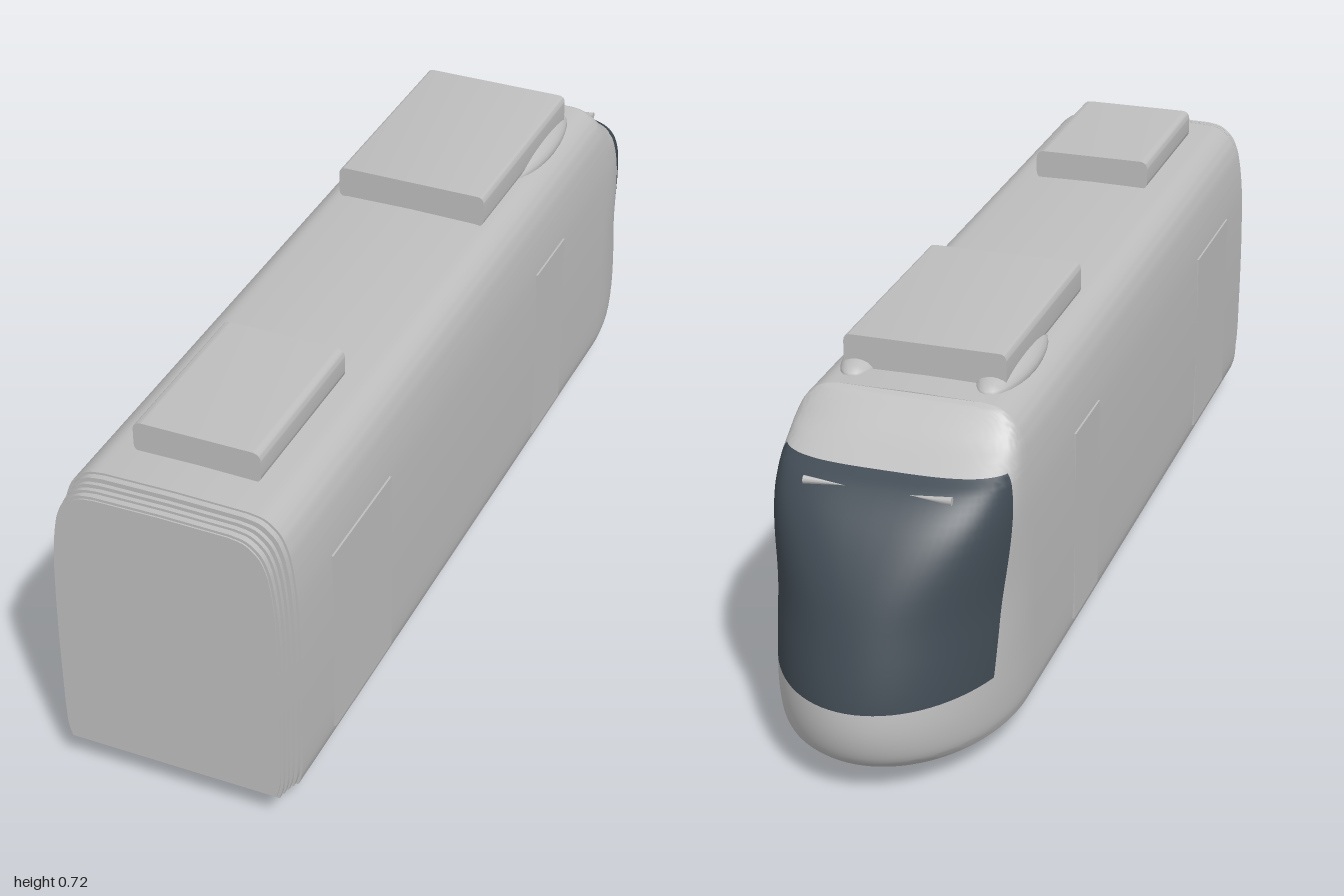
import * as THREE from 'three';
import { toCreasedNormals } from 'three/addons/utils/BufferGeometryUtils.js';

const Z0 = -0.64; // where the straight body meets the nose

// hull control points: nose length beyond Z0, height, half width
const HULL = [
  [0.315, 0.06, 0.223], [0.342, 0.085, 0.23], [0.357, 0.13, 0.233], [0.356, 0.19, 0.234],
  [0.325, 0.31, 0.235], [0.285, 0.41, 0.234], [0.23, 0.495, 0.231], [0.175, 0.545, 0.226],
  [0.135, 0.565, 0.223], [0.07, 0.6, 0.215], [0.035, 0.63, 0.2], [0.012, 0.652, 0.172], [0, 0.658, 0.14],
];
const SUB = 4, DARK_FROM = 3 * SUB, DARK_TO = 8 * SUB;

function hullRows() {
  const curve = new THREE.CatmullRomCurve3(HULL.map(p => new THREE.Vector3(...p)));
  return curve.getPoints((HULL.length - 1) * SUB);
}

// body cross-section, shrunk by a margin
function section(rows, m) {
  const s = 1 - m / 0.235;
  const pts = rows.map(r => new THREE.Vector2(r.z * s, 0.36 + (r.y - 0.36) * (1 - m / 0.3)));
  const left = pts.map(p => new THREE.Vector2(-p.x, p.y)).reverse();
  return new THREE.Shape([...pts, new THREE.Vector2(0, 0.36 + 0.3 * (1 - m / 0.3)), ...left]);
}

function slab(shape, z1, z2) {
  const g = new THREE.ExtrudeGeometry(shape, { depth: z2 - z1, bevelEnabled: false, curveSegments: 6 });
  g.translate(0, 0, z1);
  return toCreasedNormals(g, 0.6);
}

// nose lofted upward from rounded plan outlines; the windscreen is its own face group
function noseGeometry(rows) {
  const SIDE = 8, MID = 32, COLS = SIDE * 2 + MID;
  const pos = [], body = [], dark = [];
  const all = [new THREE.Vector3(0, 0.06, 0), ...rows, new THREE.Vector3(0, 0.66, 0)];
  all.forEach(r => {
    const e = 1 - 0.4 * THREE.MathUtils.smoothstep(r.y, 0.3, 0.56);
    const zE = 0.08 + 0.075 * (0.56 - r.y) / 0.36;
    const tE = Math.asin(Math.min(0.6, Math.pow(zE / Math.max(r.x, 1e-4), 1 / e)));
    for (let j = 0; j <= COLS; j++) {
      let t;
      if (j <= SIDE) t = tE * j / SIDE;
      else if (j <= SIDE + MID) t = tE + (Math.PI - 2 * tE) * (j - SIDE) / MID;
      else t = Math.PI - tE * (COLS - j) / SIDE;
      const c = Math.cos(t), s = Math.max(0, Math.sin(t));
      pos.push(r.z * Math.sign(c) * Math.pow(Math.abs(c), e), r.y, Z0 - Math.max(0, r.x) * Math.pow(s, e));
    }
  });
  for (let i = 0; i < all.length - 1; i++) {
    for (let j = 0; j < COLS; j++) {
      const a = i * (COLS + 1) + j, b = a + COLS + 1;
      const row = i - 1;
      const glass = row >= DARK_FROM && row < DARK_TO && j >= SIDE && j < SIDE + MID;
      (glass ? dark : body).push(a, a + 1, b, a + 1, b + 1, b);
    }
  }
  const g = new THREE.BufferGeometry();
  g.setAttribute('position', new THREE.Float32BufferAttribute(pos, 3));
  g.setIndex([...body, ...dark]);
  g.addGroup(0, body.length, 0);
  g.addGroup(body.length, dark.length, 1);
  return toCreasedNormals(g, 0.6);
}

// rounded-edge roof unit outline
function podShape(w, y1, y2, c) {
  const s = new THREE.Shape();
  s.moveTo(-w + c, y1);
  s.lineTo(w - c, y1);
  s.quadraticCurveTo(w, y1, w, y1 + c);
  s.lineTo(w, y2 - c);
  s.quadraticCurveTo(w, y2, w - c, y2);
  s.lineTo(-w + c, y2);
  s.quadraticCurveTo(-w, y2, -w, y2 - c);
  s.lineTo(-w, y1 + c);
  s.quadraticCurveTo(-w, y1, -w + c, y1);
  return s;
}

export function createModel() {
  const model = new THREE.Group();
  model.name = 'railcar';
  const grey = new THREE.MeshStandardMaterial({ color: 0xbebebe });
  grey.name = 'body grey';
  const glass = new THREE.MeshStandardMaterial({ color: 0x414b54 });
  glass.name = 'windscreen dark';
  const add = (name, geo, mat = grey, x = 0, y = 0, z = 0) => {
    const m = new THREE.Mesh(geo, mat);
    m.name = name;
    m.position.set(x, y, z);
    model.add(m);
    return m;
  };

  // hull
  const rows = hullRows();
  add('body', slab(section(rows, 0), Z0, 0.94));
  add('bodyEndStep', slab(section(rows, 0.004), 0.93, 0.952));
  add('nose', noseGeometry(rows), [grey, glass]);

  // corrugated gangway at the flat end
  add('gangwayCore', slab(section(rows, 0.014), 0.94, 0.997));
  for (let i = 0; i < 3; i++) {
    const z = 0.959 + i * 0.015;
    add('gangwayRib', slab(section(rows, 0.007 + i * 0.002), z, z + 0.008));
  }
  add('gangwayEnd', slab(section(rows, 0.016), 0.99, 1));

  // roof units
  add('rearRoofUnit', slab(podShape(0.125, 0.655, 0.718, 0.018), 0.5, 0.855));
  add('frontRoofUnit', slab(podShape(0.158, 0.655, 0.722, 0.015), -0.565, -0.1));

  // parts on both sides
  for (const s of [-1, 1]) {
    const flare = add('roofFairing', new THREE.SphereGeometry(1, 24, 12), grey, s * 0.132, 0.654, -0.45);
    flare.scale.set(0.048, 0.03, 0.16);

    // door panels, barely proud of the skin
    for (const [z1, z2] of [[0.54, 0.8], [-0.38, -0.22]]) {
      add('door', new THREE.BoxGeometry(0.005, 0.4, z2 - z1), grey, s * 0.2325, 0.29, (z1 + z2) / 2);
    }

    // small lamp above the windscreen
    const lamp = add('lamp', new THREE.ConeGeometry(0.012, 0.08, 8), grey, s * 0.1, 0.545, -0.815);
    lamp.rotation.z = s * Math.PI / 2;
    lamp.scale.set(0.7, 1, 0.6);

    // wheels with inner flange
    for (const z of [0.375, 0.02]) {
      const tread = add('wheel', new THREE.CylinderGeometry(0.052, 0.052, 0.024, 32), grey, s * 0.151, 0.06, z);
      const flange = add('wheelFlange', new THREE.CylinderGeometry(0.059, 0.059, 0.007, 32), grey, s * 0.144, 0.06, z);
      tread.rotation.z = flange.rotation.z = Math.PI / 2;
    }
  }

  // underframe between the wheels
  add('underframe', new THREE.BoxGeometry(0.3, 0.01, 0.38), grey, 0, 0.059, 0.198);
  return model;
}
